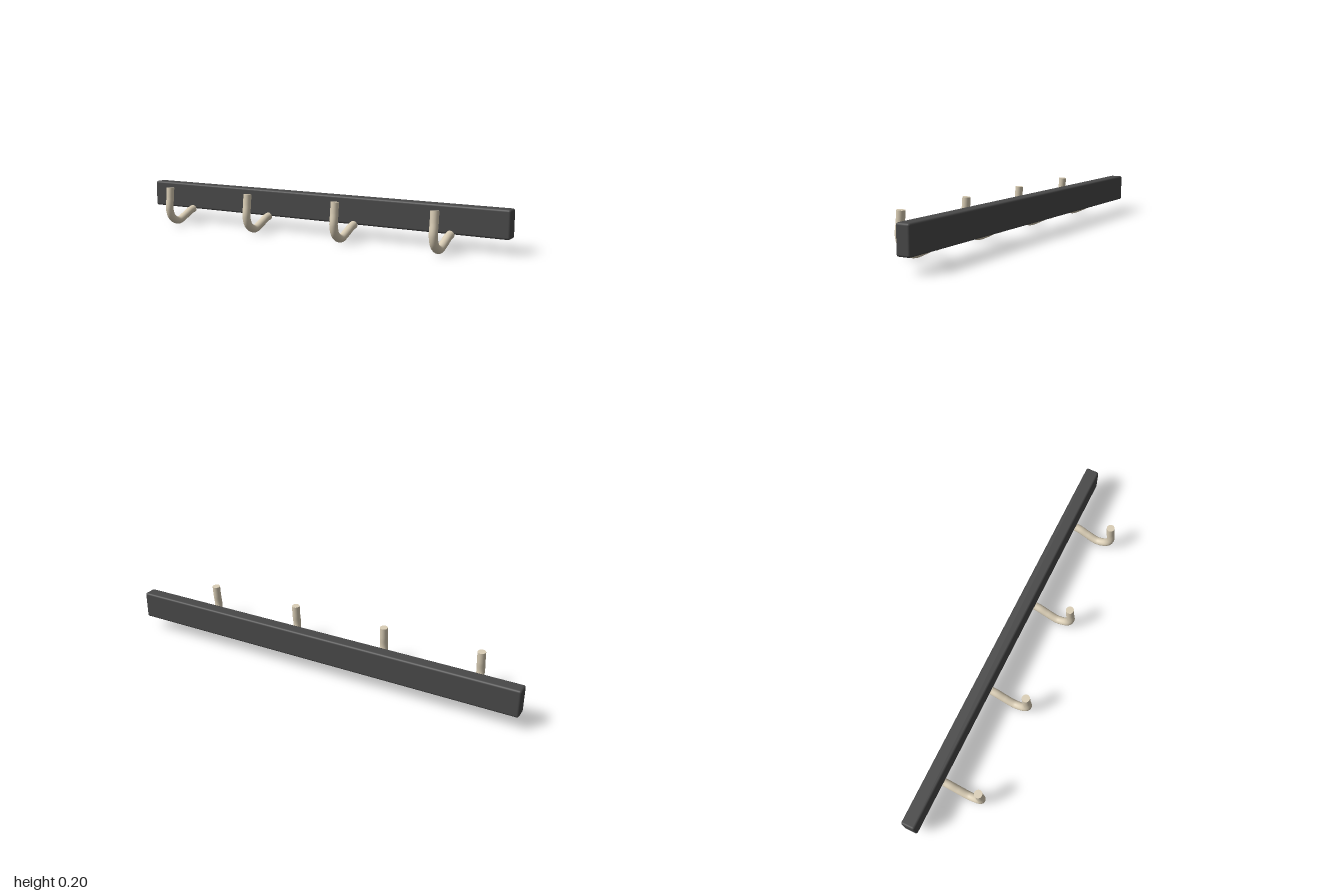
import * as THREE from 'three';
import { RoundedBoxGeometry } from 'three/addons/geometries/RoundedBoxGeometry.js';

export function createModel() {
  const model = new THREE.Group();
  model.name = 'coatRack';
  const barMaterial = new THREE.MeshStandardMaterial({ color: 0x484848 });
  const hookMaterial = new THREE.MeshStandardMaterial({ color: 0xd8ccb4 });

  // Wall rail with softened edges
  const rail = new THREE.Mesh(new RoundedBoxGeometry(2, 0.132, 0.066, 3, 0.01), barMaterial);
  rail.name = 'rail';
  rail.position.set(0, 0.134, -0.106);
  model.add(rail);

  // Hook centre line as [z, y], from the rail to the tip
  const path = new THREE.CatmullRomCurve3([
    [-0.073, 0.068], [-0.045, 0.061], [-0.005, 0.042], [0.054, 0.022],
    [0.102, 0.046], [0.12, 0.09], [0.114, 0.15], [0.11, 0.2],
  ].map(([z, y]) => new THREE.Vector3(0, y, z)));
  const radius = 0.0195;
  const hookGeometry = new THREE.TubeGeometry(path, 48, radius, 20);
  const capGeometry = new THREE.CircleGeometry(radius, 20);

  // Flat end disc facing along the given direction
  function addCap(hook, t, sign, name) {
    const cap = new THREE.Mesh(capGeometry, hookMaterial);
    cap.name = name;
    cap.position.copy(path.getPointAt(t));
    cap.quaternion.setFromUnitVectors(
      new THREE.Vector3(0, 0, 1), path.getTangentAt(t).multiplyScalar(sign));
    hook.add(cap);
  }

  // Four evenly spaced hooks
  for (let i = 0; i < 4; i++) {
    const hook = new THREE.Group();
    hook.name = `hook${i + 1}`;
    const rod = new THREE.Mesh(hookGeometry, hookMaterial);
    rod.name = 'hookRod';
    hook.add(rod);
    addCap(hook, 0, -1, 'hookBase');
    addCap(hook, 1, 1, 'hookTip');
    hook.position.x = -0.737 + i * 0.489;
    model.add(hook);
  }
  return model;
}
